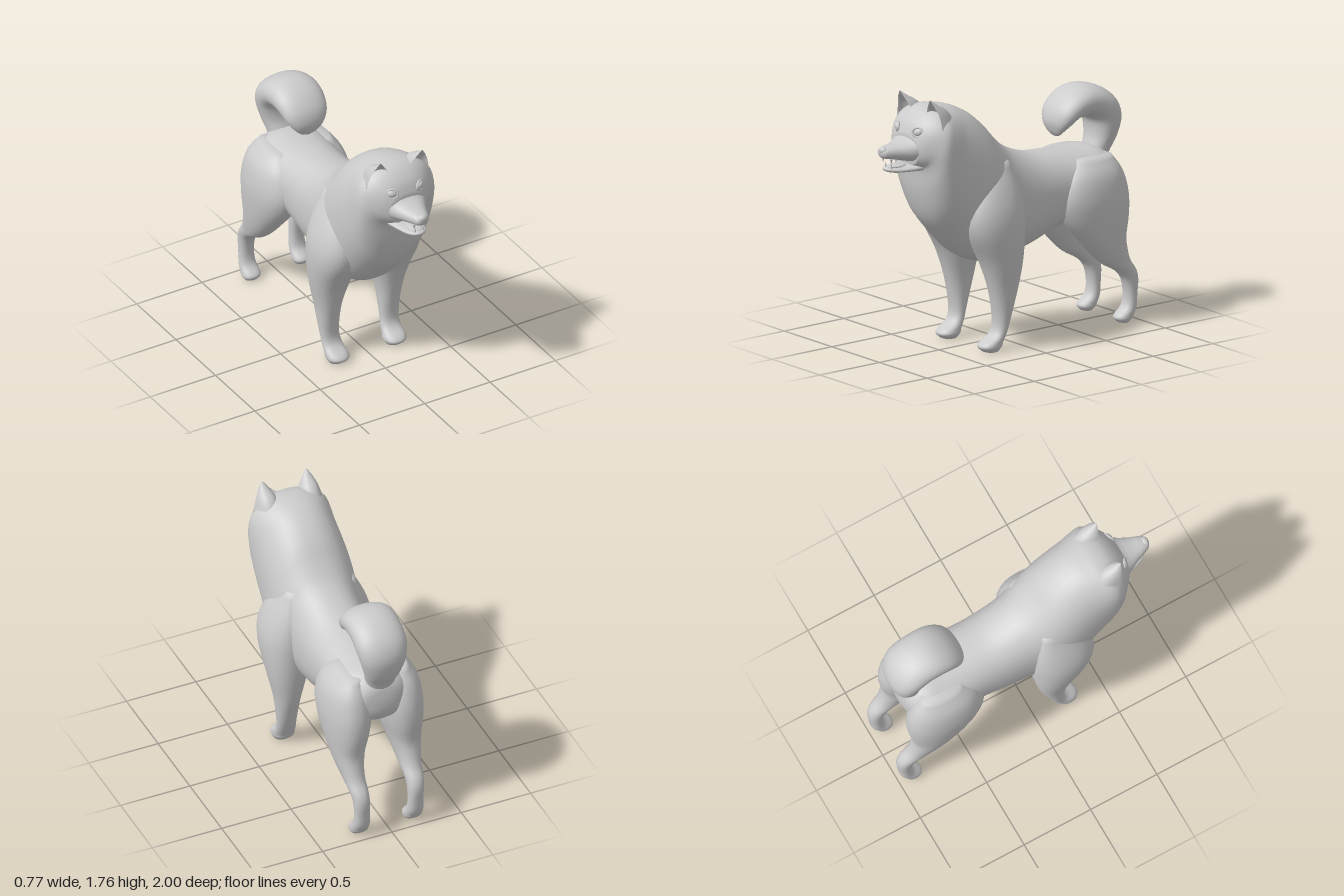
import * as THREE from 'three';

const material = new THREE.MeshStandardMaterial({ color: 0xcccccc });

// Skin through elliptical rings: [z1, y1, z2, y2, centreX, halfWidth],
// where (z1, y1) and (z2, y2) are the opposite ends of each ring in the side plane.
function loft(name, rings, { side = 1, sides = 28, steps = 4, power = 0.9, dent = 1 } = {}) {
  const curve = (f) => new THREE.CatmullRomCurve3(rings.map(f), false, 'catmullrom', 0.5);
  const first = curve((r) => new THREE.Vector3(r[4] * side, r[1], r[0]));
  const second = curve((r) => new THREE.Vector3(r[5], r[3], r[2]));
  const rows = (rings.length - 1) * steps;
  const pos = [], index = [];
  const shape = (v) => Math.sign(v) * Math.abs(v) ** power;
  const centres = [];
  for (let i = 0; i <= rows; i++) {
    const a = first.getPoint(i / rows), b = second.getPoint(i / rows);
    const cy = (a.y + b.y) / 2, cz = (a.z + b.z) / 2;
    centres.push([a.x, cy, cz]);
    for (let j = 0; j < sides; j++) {
      const t = (j / sides) * Math.PI * 2;
      const s = shape(Math.sin(t)) * (Math.sin(t) < 0 ? dent : 1);
      pos.push(a.x + Math.max(b.x, 0.002) * shape(Math.cos(t)), cy + s * (a.y - cy), cz + s * (a.z - cz));
      if (i < rows) {
        const k = (j + 1) % sides, p = i * sides + j, q = i * sides + k;
        index.push(p, q, q + sides, p, q + sides, p + sides);
      }
    }
  }
  // End caps
  const start = pos.length / 3;
  pos.push(...centres[0], ...centres[rows]);
  for (let j = 0; j < sides; j++) {
    const k = (j + 1) % sides;
    index.push(start, k, j, start + 1, rows * sides + j, rows * sides + k);
  }
  const geometry = new THREE.BufferGeometry();
  geometry.setAttribute('position', new THREE.Float32BufferAttribute(pos, 3));
  geometry.setIndex(index);
  geometry.computeVertexNormals();
  const mesh = new THREE.Mesh(geometry, material);
  mesh.name = name;
  return mesh;
}

function place(name, geometry, position, scale = [1, 1, 1], rotation = [0, 0, 0]) {
  const mesh = new THREE.Mesh(geometry, material);
  mesh.name = name;
  mesh.position.set(...position);
  mesh.scale.set(...scale);
  mesh.rotation.set(...rotation);
  return mesh;
}

// Level leg ring from height, front z, back z, inner x and outer x
const legRing = ([y, front, back, inner, outer]) =>
  [front, y, back, y, (inner + outer) / 2, (outer - inner) / 2];

const torso = [
  [-0.89, 1.02, -0.89, 0.92, 0, 0.06],
  [-0.86, 1.13, -0.85, 0.84, 0, 0.17],
  [-0.75, 1.195, -0.70, 0.77, 0, 0.26],
  [-0.60, 1.20, -0.55, 0.73, 0, 0.27],
  [-0.40, 1.21, -0.38, 0.69, 0, 0.25],
  [-0.20, 1.235, -0.20, 0.62, 0, 0.25],
  [0.00, 1.32, 0.00, 0.57, 0, 0.26],
  [0.12, 1.42, 0.20, 0.56, 0, 0.29],
  [0.22, 1.53, 0.38, 0.64, 0, 0.30],
  [0.32, 1.61, 0.53, 0.79, 0, 0.295],
  [0.42, 1.66, 0.64, 0.93, 0, 0.29],
  [0.50, 1.68, 0.70, 1.10, 0, 0.29],
  [0.58, 1.69, 0.72, 1.24, 0, 0.28],
  [0.67, 1.67, 0.73, 1.28, 0, 0.24],
  [0.75, 1.60, 0.75, 1.29, 0, 0.185],
  [0.79, 1.51, 0.78, 1.31, 0, 0.13],
];

const snout = [
  [0.72, 1.57, 0.72, 1.32, 0, 0.17],
  [0.79, 1.50, 0.79, 1.34, 0, 0.135],
  [0.87, 1.472, 0.87, 1.36, 0, 0.092],
  [0.94, 1.462, 0.94, 1.375, 0, 0.063],
  [0.98, 1.45, 0.975, 1.385, 0, 0.045],
  [0.995, 1.43, 0.99, 1.40, 0, 0.022],
];

const jaw = [
  [0.70, 1.34, 0.70, 1.265, 0, 0.13],
  [0.80, 1.32, 0.80, 1.272, 0, 0.10],
  [0.89, 1.315, 0.89, 1.277, 0, 0.072],
  [0.94, 1.318, 0.94, 1.287, 0, 0.042],
  [0.957, 1.31, 0.957, 1.30, 0, 0.012],
];

const tail = [
  [-0.86, 1.00, -0.70, 1.10, 0, 0.10],
  [-0.88, 1.12, -0.74, 1.18, 0, 0.105],
  [-0.94, 1.24, -0.765, 1.25, 0, 0.13],
  [-0.965, 1.38, -0.765, 1.33, 0, 0.16],
  [-0.92, 1.50, -0.74, 1.375, 0, 0.175],
  [-0.81, 1.585, -0.70, 1.395, 0, 0.175],
  [-0.67, 1.615, -0.64, 1.40, 0, 0.175],
  [-0.55, 1.575, -0.58, 1.39, 0, 0.17],
  [-0.46, 1.49, -0.53, 1.355, 0, 0.15],
  [-0.43, 1.40, -0.50, 1.325, 0, 0.11],
  [-0.445, 1.33, -0.48, 1.295, 0, 0.06],
  [-0.47, 1.29, -0.475, 1.288, 0, 0.01],
];

const frontLeg = [
  [1.27, 0.24, 0.08, 0.12, 0.24],
  [1.10, 0.38, 0.02, 0.08, 0.325],
  [0.95, 0.44, 0.00, 0.06, 0.375],
  [0.80, 0.42, 0.00, 0.07, 0.385],
  [0.60, 0.315, 0.015, 0.10, 0.36],
  [0.40, 0.25, 0.05, 0.145, 0.32],
  [0.20, 0.215, 0.11, 0.16, 0.298],
  [0.11, 0.235, 0.14, 0.155, 0.292],
  [0.06, 0.31, 0.16, 0.145, 0.295],
  [0.03, 0.33, 0.17, 0.142, 0.295],
  [0.00, 0.30, 0.20, 0.16, 0.28],
].map(legRing);

const hindLeg = [
  [1.16, -0.52, -0.80, 0.10, 0.23],
  [1.05, -0.41, -0.87, 0.05, 0.31],
  [0.90, -0.36, -0.91, 0.03, 0.34],
  [0.75, -0.41, -0.91, 0.05, 0.335],
  [0.60, -0.53, -0.885, 0.09, 0.315],
  [0.50, -0.62, -0.90, 0.115, 0.295],
  [0.42, -0.71, -0.93, 0.13, 0.275],
  [0.35, -0.83, -0.98, 0.138, 0.26],
  [0.28, -0.885, -1.00, 0.14, 0.25],
  [0.18, -0.905, -0.993, 0.14, 0.245],
  [0.10, -0.89, -0.985, 0.135, 0.25],
  [0.05, -0.835, -0.965, 0.13, 0.255],
  [0.025, -0.828, -0.95, 0.13, 0.255],
  [0.00, -0.85, -0.92, 0.145, 0.24],
].map(legRing);

const ear = [
  [0.50, 1.59, 0.82, 1.55, 0.150, 0.090],
  [0.57, 1.68, 0.77, 1.64, 0.152, 0.066],
  [0.65, 1.73, 0.73, 1.71, 0.157, 0.034],
  [0.698, 1.765, 0.704, 1.76, 0.160, 0.005],
];

export function createModel() {
  const model = new THREE.Group();
  model.name = 'dog';
  model.add(
    loft('bodyAndHead', torso, { sides: 40, power: 0.88 }),
    loft('snout', snout),
    loft('lowerJaw', jaw),
    loft('tail', tail),
  );

  const ball = new THREE.SphereGeometry(1, 20, 14);
  model.add(
    place('nose', ball, [0, 1.437, 0.972], [0.036, 0.026, 0.026]),
    place('tongue', ball, [0, 1.318, 0.86], [0.05, 0.012, 0.075]),
  );

  const lid = new THREE.TorusGeometry(0.038, 0.008, 8, 24);
  const tooth = new THREE.ConeGeometry(0.011, 0.04, 8);
  for (const side of [1, -1]) {
    model.add(
      loft('frontLeg', frontLeg, { side }),
      loft('hindLeg', hindLeg, { side }),
      loft('ear', ear, { side, dent: -0.45, steps: 6 }),
      // Almond eyes with raised lids, slanting up to the outside
      place('eye', ball, [0.106 * side, 1.545, 0.757], [0.036, 0.027, 0.024], [0, 0.45 * side, 0.25 * side]),
      place('eyelid', lid, [0.107 * side, 1.546, 0.764], [1, 0.78, 1], [-0.25, 0.5 * side, 0.25 * side]),
      // Canine teeth
      place('upperTooth', tooth, [0.043 * side, 1.362, 0.935], [1, 1, 1], [Math.PI, 0, 0]),
      place('lowerTooth', tooth, [0.03 * side, 1.328, 0.925]),
    );
  }
  return model;
}
